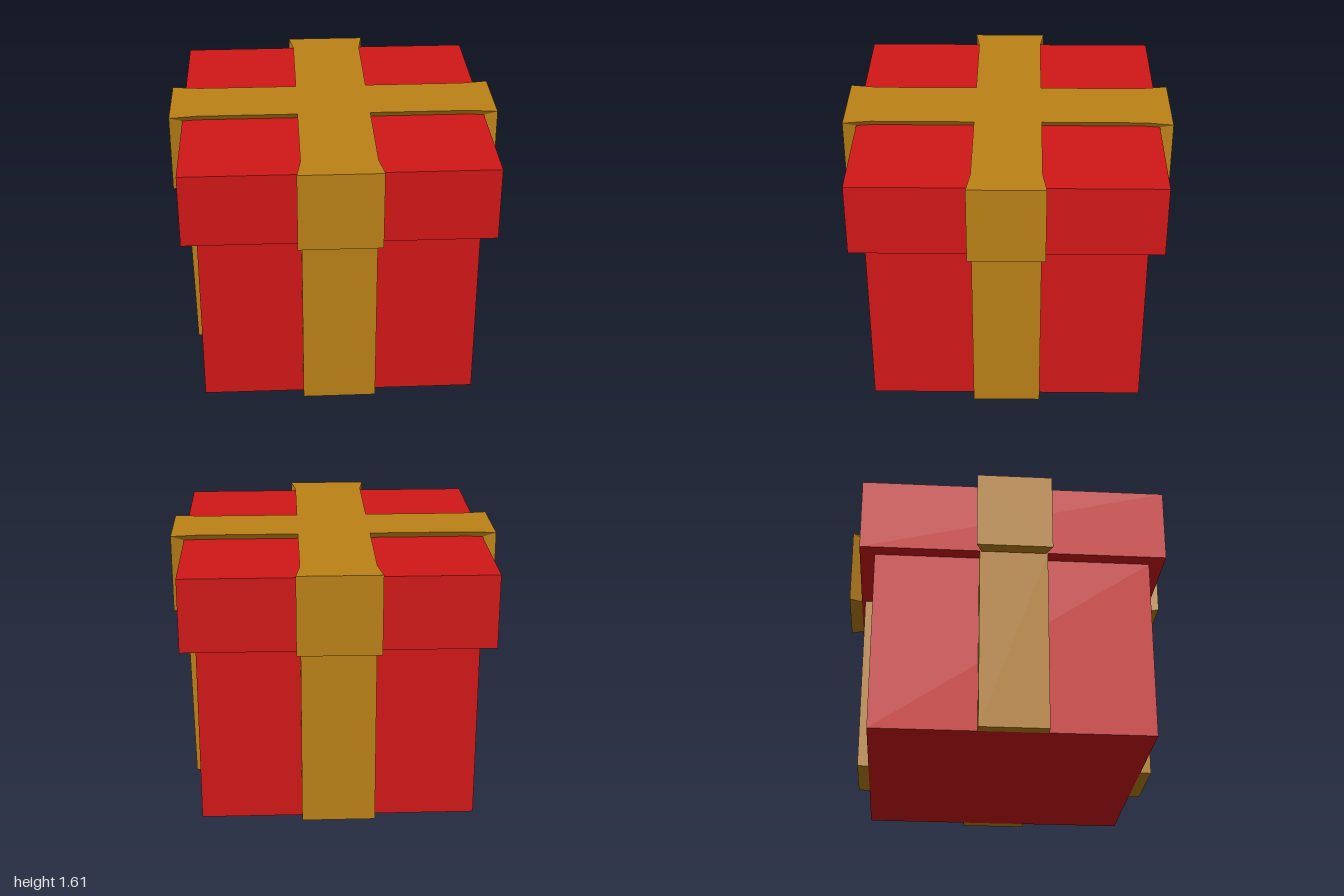
import * as THREE from 'three';

const red = new THREE.MeshStandardMaterial({ color: 0xd21717 });
red.name = 'red wrapping';
const gold = new THREE.MeshStandardMaterial({ color: 0xbc8217 });
gold.name = 'gold ribbon';

const BASE = 0.833, LID = 0.922, REACH = 1.0;     // half widths
const SEAM = 1.125, LID_TOP = 1.575, TOP = 1.61;  // heights
const UNDERCUT = 0.022;                           // ribbon edges lean inwards to the lid
const BANDS = { x: { narrow: 0.205, wide: 0.228 }, z: { narrow: 0.222, wide: 0.248 } };

export function createModel() {
  const group = new THREE.Group();

  const add = (name, geometry, material) => {
    const mesh = new THREE.Mesh(geometry, material);
    mesh.name = name;
    group.add(mesh);
  };

  const extrude = (points, depth) => new THREE.ExtrudeGeometry(
    new THREE.Shape(points.map(([x, y]) => new THREE.Vector2(x, y))),
    { depth, bevelEnabled: false });

  // Upright prism from an outline in x and -z; rule then moves its corners
  const prism = (points, y0, y1, rule) => {
    const geometry = extrude(points, y1 - y0).rotateX(-Math.PI / 2).translate(0, y0, 0);
    const position = geometry.attributes.position;
    const v = new THREE.Vector3();
    for (let i = 0; i < position.count; i++) {
      rule(v.fromBufferAttribute(position, i));
      position.setXYZ(i, v.x, v.y, v.z);
    }
    geometry.computeVertexNormals();
    return geometry;
  };

  const box = (half, y0, y1) =>
    new THREE.BoxGeometry(half * 2, y1 - y0, half * 2).translate(0, (y0 + y1) / 2, 0);

  // Half width of a ribbon's inner edge where it meets the lid's side
  const innerWidth = ({ narrow, wide }) =>
    narrow + (wide - narrow) * (LID - BASE) / (REACH - BASE) - UNDERCUT;

  // Box and lid
  add('box', box(BASE, 0, SEAM), red);
  add('lid', box(LID, SEAM, LID_TOP), red);

  // Ribbon cross on the lid, flaring at its four ends
  const { x: bx, z: bz } = BANDS;
  const quarter = [
    [REACH, bx.wide], [BASE, bx.narrow], [bz.narrow, bx.narrow],
    [bz.narrow, BASE], [bz.wide, REACH],
  ];
  const mirror = (sx, sy) => quarter.map(([x, y]) => [x * sx, y * sy]);
  const cross = [
    ...mirror(1, 1), ...mirror(-1, 1).reverse(),
    ...mirror(-1, -1), ...mirror(1, -1).reverse(),
  ];
  // Lower corners: ends pulled in to the lid's side, edges undercut
  const pullIn = (value, width) => {
    const size = Math.abs(value);
    if (size > 0.95) return Math.sign(value) * LID;
    if (size > 0.5) return value;
    const inner = size > width.narrow + 0.01 ? innerWidth(width) : size - UNDERCUT;
    return Math.sign(value) * inner;
  };
  add('lidRibbonCross', prism(cross, LID_TOP, TOP, (v) => {
    if (v.y > TOP - 0.01) return;
    v.x = pullIn(v.x, bz);
    v.z = pullIn(v.z, bx);
  }), gold);

  // Ribbon on each side: a flared flap over the lid and a band down the box
  const sides = ['right', 'back', 'left', 'front'];
  for (let i = 0; i < 4; i++) {
    const onX = i % 2 === 0;
    const width = onX ? bx : bz;
    const angle = Math.PI + i * -Math.PI / 2;
    const inner = innerWidth(width);
    const flap = [[LID, -inner], [REACH, -width.wide], [REACH, width.wide], [LID, inner]];
    // The flap is mitred to the cross along its top
    add(sides[i] + 'LidRibbon', prism(flap, SEAM, LID_TOP, (v) => {
      if (v.x > 0.95 && v.y > LID_TOP - 0.01) v.y = TOP;
    }).rotateY(angle), gold);

    // The side bands lean out slightly towards the lid
    const upper = onX ? 0.918 : 0.9;
    const band = [[BASE, 0], [0.9, 0], [upper, SEAM], [BASE, SEAM]];
    add(sides[i] + 'BoxRibbon',
      extrude(band, width.narrow * 2).translate(0, 0, -width.narrow).rotateY(angle), gold);
  }
  return group;
}
